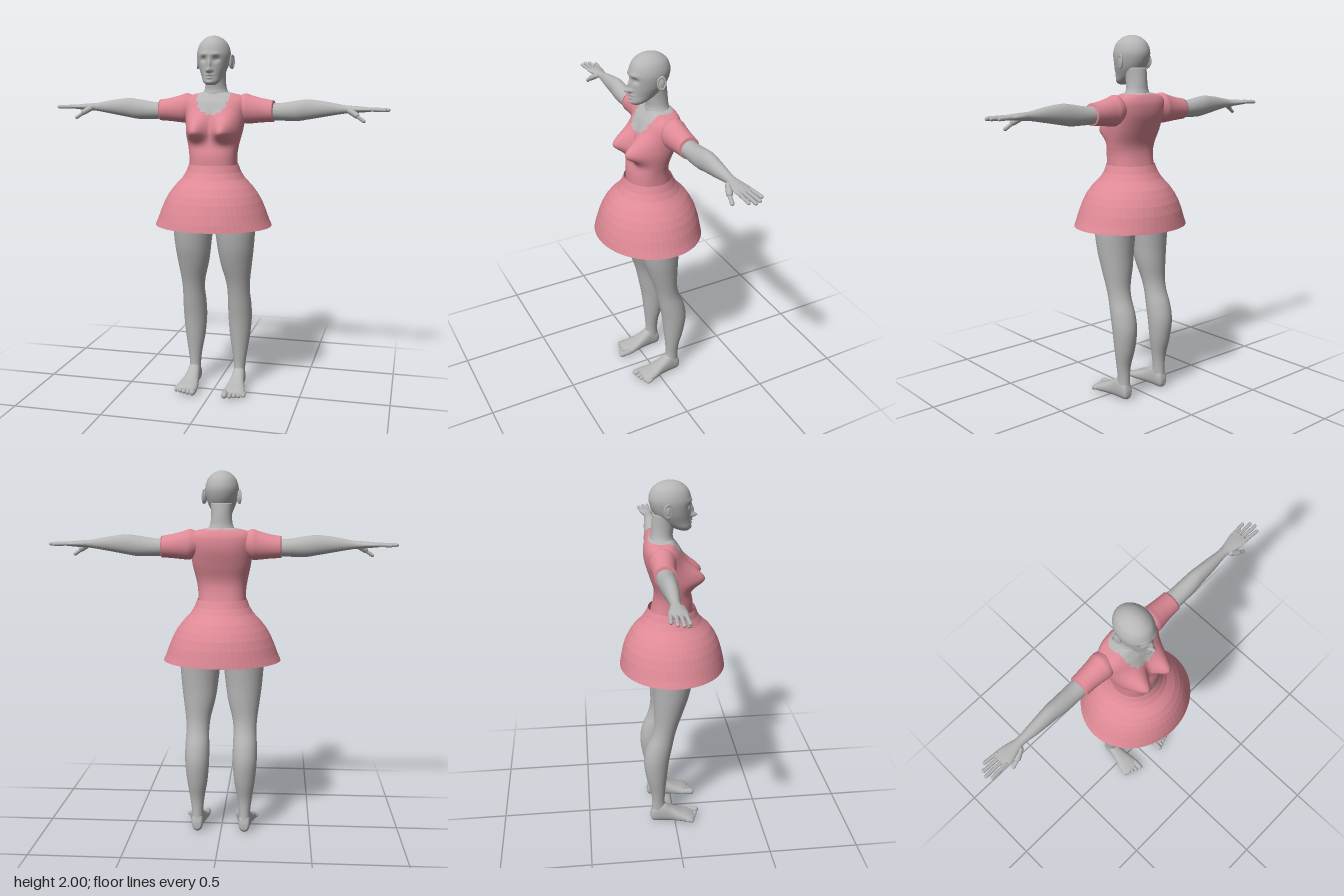
import * as THREE from 'three';

const skin = new THREE.MeshStandardMaterial({ name: 'greySkin', color: 0xb6b6b6 });
const cloth = new THREE.MeshStandardMaterial({ name: 'pinkCloth', color: 0xdf8a96, side: THREE.DoubleSide });

// Which world axes the section values [t, aMin, aMax, bMin, bMax] run along
const alongY = (a, t, b) => [a, t, b];
const alongX = (a, t, b) => [t, b, a];
const alongZ = (a, t, b) => [b, a, t];

const spline = (p0, p1, p2, p3, u) =>
  0.5 * (2 * p1 + (p2 - p0) * u + (2 * p0 - 5 * p1 + 4 * p2 - p3) * u * u + (3 * p1 - p0 - 3 * p2 + p3) * u * u * u);

// Smooth skin through oval sections; move() adjusts points, split() picks faces for a second material
function loft(sections, { map = alongY, segs = 32, steps = 5, caps = true, power = 1, side = 1, move, split } = {}) {
  const rows = [];
  const at = i => sections[Math.min(Math.max(i, 0), sections.length - 1)];
  for (let i = 0; i < sections.length - 1; i++)
    for (let k = 0; k < steps; k++)
      rows.push(at(i).map((v, c) => spline(at(i - 1)[c], v, at(i + 1)[c], at(i + 2)[c], k / steps)));
  rows.push(at(sections.length));

  const pos = [], faces = [[], []];
  const bend = v => Math.sign(v) * Math.abs(v) ** power;
  const add = (t, a, b) => {
    let p = map(a, t, b);
    if (move) p = move(...p);
    pos.push(p[0] * side, p[1], p[2]);
  };
  for (const [t, a0, a1, b0, b1] of rows)
    for (let j = 0; j < segs; j++) {
      const w = j / segs * Math.PI * 2;
      add(t, (a0 + a1) / 2 + (a1 - a0) / 2 * bend(Math.cos(w)), (b0 + b1) / 2 + (b1 - b0) / 2 * bend(Math.sin(w)));
    }
  const face = (a, b, c) => {
    const mid = [0, 1, 2].map(k => (pos[a * 3 + k] + pos[b * 3 + k] + pos[c * 3 + k]) / 3);
    faces[split && split(...mid) ? 1 : 0].push(...(side > 0 ? [a, b, c] : [a, c, b]));
  };
  for (let i = 0; i < rows.length - 1; i++)
    for (let j = 0; j < segs; j++) {
      const n = (j + 1) % segs, p = i * segs, q = p + segs;
      face(p + j, q + j, p + n);
      face(p + n, q + j, q + n);
    }
  if (caps) {
    const last = (rows.length - 1) * segs;
    for (const r of [rows[0], rows[rows.length - 1]]) add(r[0], (r[1] + r[2]) / 2, (r[3] + r[4]) / 2);
    const c = pos.length / 3 - 2;
    for (let j = 0; j < segs; j++) {
      const n = (j + 1) % segs;
      face(c, j, n);
      face(c + 1, last + n, last + j);
    }
  }
  const g = new THREE.BufferGeometry();
  g.setAttribute('position', new THREE.Float32BufferAttribute(pos, 3));
  g.setIndex([...faces[0], ...faces[1]]);
  if (split) {
    g.addGroup(0, faces[0].length, 0);
    g.addGroup(faces[0].length, faces[1].length, 1);
  }
  g.computeVertexNormals();
  return g;
}

// Rounded finger or toe between two points
function digit(from, to, r) {
  const a = new THREE.Vector3(...from), b = new THREE.Vector3(...to), d = b.clone().sub(a);
  const g = new THREE.CapsuleGeometry(r, Math.max(d.length() - r, 0.001), 5, 10);
  g.applyQuaternion(new THREE.Quaternion().setFromUnitVectors(new THREE.Vector3(0, 1, 0), d.clone().normalize()));
  const m = a.add(b).multiplyScalar(0.5);
  return g.translate(m.x, m.y, m.z);
}

const bump = (x, y, cx, cy, sx, sy) => Math.exp(-(((x - cx) / sx) ** 2) - ((y - cy) / sy) ** 2);

// Brow, nose, lips, chin and eye sockets
function sculptFace(x, y, z) {
  const w = THREE.MathUtils.smoothstep(z, 0, 0.06), ax = Math.abs(x);
  const dz = -0.014 * bump(ax, y, 0.034, 1.873, 0.018, 0.014)
    + 0.006 * bump(ax, y, 0.03, 1.9, 0.025, 0.009)
    + 0.03 * bump(x, y, 0, 1.816, 0.011, 0.012) + 0.018 * bump(x, y, 0, 1.843, 0.009, 0.026)
    + 0.01 * bump(ax, y, 0.012, 1.815, 0.007, 0.007)
    + 0.01 * bump(x, y, 0, 1.791, 0.02, 0.006) + 0.009 * bump(x, y, 0, 1.777, 0.017, 0.006)
    - 0.004 * bump(x, y, 0, 1.784, 0.024, 0.003)
    + 0.006 * bump(x, y, 0, 1.752, 0.018, 0.012);
  return [x, y, z + w * dz];
}

// Bust, fuller towards its lower edge
function sculptBust(x, y, z) {
  const w = THREE.MathUtils.smoothstep(z, -0.03, 0.04);
  return [x, y, z + 0.105 * w * bump(Math.abs(x), y, 0.078, 1.495, 0.062, y > 1.495 ? 0.075 : 0.052)];
}

// Scalloped neckline
function inNeckline(x, y, z) {
  if (y > 1.692) return true;
  if (z < -0.04) return false;
  const u = x / 0.085, v = Math.min(y - 1.66, 0) / 0.08;
  return Math.hypot(u, v) < 1 + 0.06 * Math.cos(14 * Math.atan2(v, u));
}

export function createModel() {
  const model = new THREE.Group();
  const part = (name, geometry, material = skin, parent = model) => {
    const m = new THREE.Mesh(geometry, material);
    m.name = name;
    parent.add(m);
    return m;
  };

  // Head and neck
  part('head', loft([
    [1.738, -0.022, 0.022, 0.04, 0.085], [1.755, -0.043, 0.043, 0.0, 0.097], [1.79, -0.06, 0.06, -0.06, 0.096],
    [1.84, -0.08, 0.08, -0.1, 0.096], [1.9, -0.09, 0.09, -0.12, 0.1], [1.95, -0.078, 0.078, -0.108, 0.085],
    [1.98, -0.053, 0.053, -0.078, 0.056], [1.995, -0.026, 0.026, -0.044, 0.024], [2, -0.001, 0.001, -0.011, -0.009],
  ], { segs: 96, steps: 9, move: sculptFace }));
  part('neck', loft([
    [1.64, -0.085, 0.085, -0.12, 0.01], [1.69, -0.072, 0.072, -0.118, 0.008], [1.72, -0.06, 0.06, -0.112, 0.004],
    [1.77, -0.056, 0.056, -0.108, 0.012], [1.83, -0.06, 0.06, -0.1, 0.02],
  ]));

  // Bodice with the bare upper chest
  part('bodice', loft([
    [1.28, -0.13, 0.13, -0.118, 0.11], [1.36, -0.132, 0.132, -0.1, 0.108], [1.42, -0.141, 0.141, -0.1, 0.092],
    [1.5, -0.158, 0.158, -0.125, 0.068], [1.58, -0.168, 0.168, -0.148, 0.06], [1.64, -0.174, 0.174, -0.15, 0.042],
    [1.675, -0.155, 0.155, -0.138, 0.018], [1.692, -0.1, 0.1, -0.125, 0.005], [1.7, -0.062, 0.062, -0.112, -0.002],
  ], { segs: 112, steps: 10, power: 0.85, move: sculptBust, split: inNeckline }), [cloth, skin]);

  // Flared skirt in flat bands
  part('skirt', loft([
    [0.972, -0.325, 0.325, -0.29, 0.29], [1.01, -0.308, 0.308, -0.284, 0.284], [1.06, -0.29, 0.29, -0.275, 0.272],
    [1.11, -0.268, 0.268, -0.26, 0.256], [1.15, -0.245, 0.245, -0.24, 0.237], [1.19, -0.214, 0.214, -0.215, 0.21],
    [1.235, -0.172, 0.172, -0.172, 0.162], [1.27, -0.151, 0.151, -0.148, 0.14], [1.31, -0.136, 0.136, -0.13, 0.126],
  ], { segs: 56, steps: 1, caps: false }).toNonIndexed(), cloth).geometry.computeVertexNormals();

  part('hips', loft([
    [0.955, -0.07, 0.07, -0.08, 0.03], [1.0, -0.18, 0.18, -0.12, 0.08], [1.08, -0.212, 0.212, -0.14, 0.1],
    [1.18, -0.18, 0.18, -0.135, 0.11], [1.29, -0.125, 0.125, -0.11, 0.1],
  ]));

  for (const side of [1, -1]) {
    const label = side > 0 ? 'left' : 'right';
    const s = p => [p[0] * side, p[1], p[2]];

    // Eye and ear
    part(label + 'Eye', new THREE.SphereGeometry(0.015, 16, 12).translate(0.034 * side, 1.873, 0.062));
    part(label + 'Ear', new THREE.SphereGeometry(1, 16, 12).scale(0.01, 0.034, 0.021).rotateY(-0.3 * side)
      .translate(0.091 * side, 1.86, -0.028));
    part(label + 'EarRim', new THREE.TorusGeometry(0.02, 0.005, 8, 20).scale(1, 1.6, 1)
      .rotateY((Math.PI / 2 - 0.3) * side).translate(0.096 * side, 1.862, -0.03));

    // Sleeve, arm and hand
    part(label + 'Sleeve', loft([
      [0.12, -0.12, -0.01, 1.56, 1.675], [0.165, -0.133, 0.004, 1.53, 1.692], [0.2, -0.13, 0, 1.53, 1.682],
      [0.26, -0.126, -0.008, 1.536, 1.666], [0.322, -0.123, -0.01, 1.54, 1.655],
    ], { map: alongX, side }), cloth);
    part(label + 'Arm', loft([
      [0.28, -0.115, -0.02, 1.55, 1.64], [0.36, -0.114, -0.02, 1.547, 1.642], [0.45, -0.11, -0.02, 1.546, 1.656],
      [0.51, -0.106, -0.025, 1.555, 1.662], [0.6, -0.097, -0.03, 1.571, 1.652], [0.7, -0.088, -0.04, 1.588, 1.634],
      [0.75, -0.097, -0.03, 1.592, 1.63], [0.8, -0.108, -0.018, 1.596, 1.626], [0.84, -0.108, -0.02, 1.6, 1.62],
    ], { map: alongX, side }));
    const fingers = [[-0.098, 0.9, -0.106], [-0.076, 0.928, -0.079], [-0.053, 0.937, -0.052], [-0.031, 0.92, -0.025]];
    for (const [z, tip, tipZ] of fingers)
      part(label + 'Finger', digit(s([0.82, 1.612, z]), s([tip, 1.61, tipZ]), 0.0095));
    part(label + 'ThumbBase', digit(s([0.725, 1.608, -0.04]), s([0.775, 1.578, -0.018]), 0.016));
    part(label + 'Thumb', digit(s([0.765, 1.582, -0.02]), s([0.812, 1.55, -0.012]), 0.01));

    // Leg and foot
    part(label + 'Leg', loft([
      [0.06, 0.1, 0.165, -0.137, -0.05], [0.13, 0.1, 0.166, -0.133, -0.058], [0.2, 0.092, 0.175, -0.138, -0.055],
      [0.3, 0.075, 0.19, -0.163, -0.045], [0.41, 0.066, 0.2, -0.176, -0.032], [0.5, 0.066, 0.2, -0.16, -0.015],
      [0.58, 0.068, 0.196, -0.128, 0.001], [0.65, 0.06, 0.2, -0.114, 0.02], [0.75, 0.035, 0.213, -0.115, 0.055],
      [0.85, 0.02, 0.225, -0.118, 0.085], [0.97, 0.007, 0.232, -0.128, 0.104], [1.06, 0.008, 0.216, -0.143, 0.1],
      [1.13, 0.04, 0.18, -0.11, 0.06],
    ], { side }));
    part(label + 'Foot', loft([
      [-0.141, 0.02, 0.055, 0.115, 0.15], [-0.125, 0.003, 0.1, 0.102, 0.163], [-0.075, 0, 0.125, 0.098, 0.17],
      [-0.02, 0, 0.092, 0.092, 0.176], [0.03, 0, 0.066, 0.083, 0.19], [0.08, 0, 0.048, 0.077, 0.2],
      [0.11, 0.004, 0.034, 0.085, 0.19],
    ], { map: alongZ, side, power: 0.85, move: (x, y, z) => [x, Math.max(y, 0), z] }));
    for (let i = 0; i < 5; i++) {
      const x = 0.093 + i * 0.0245 + (i ? 0.004 : 0), r = i ? 0.0125 : 0.018;
      part(label + 'Toe', digit(s([x, 0.026, 0.07]), s([x, r + 0.004, 0.138 - i * 0.009]), r));
    }
  }
  return model;
}
